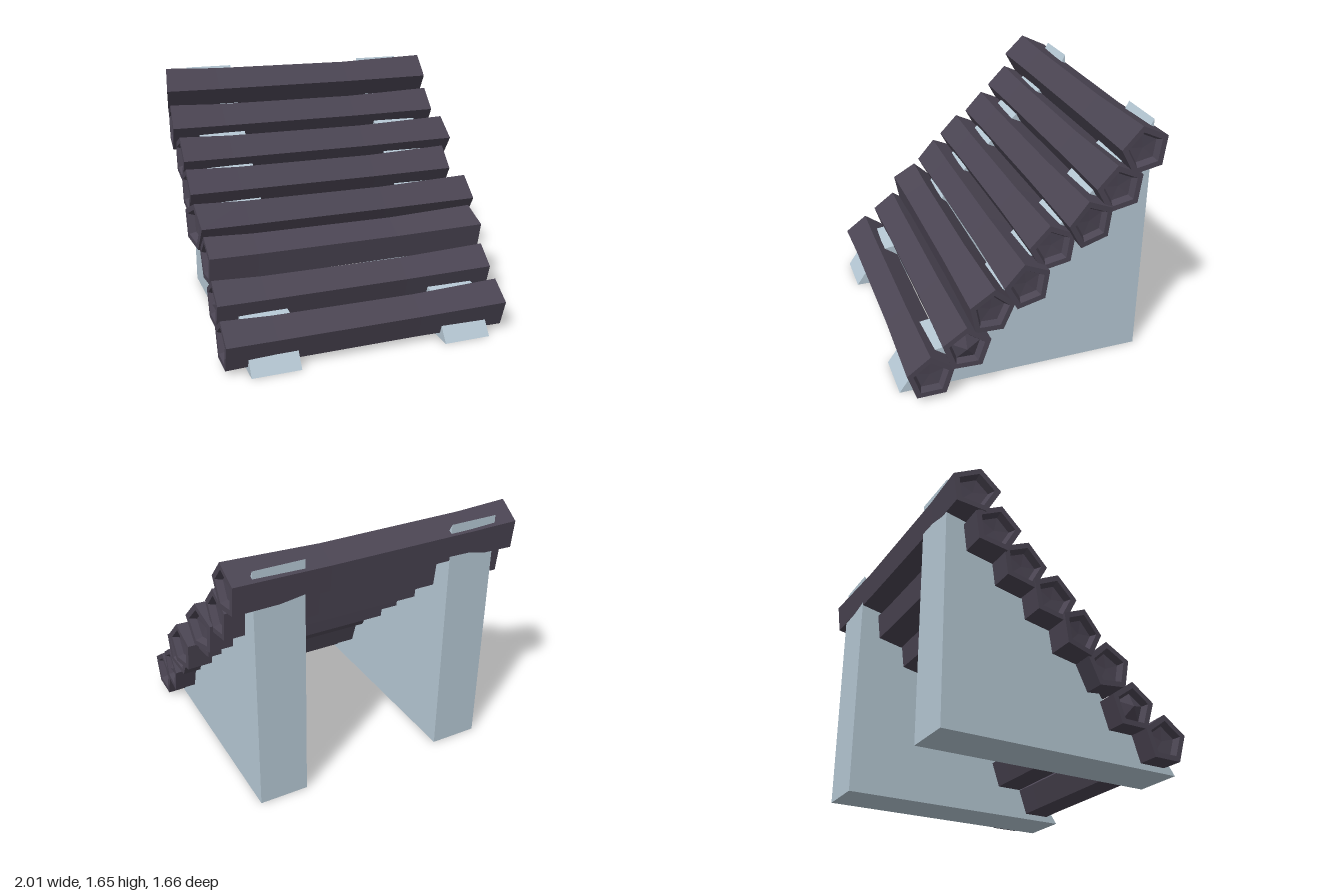
import * as THREE from 'three';

const wood = new THREE.MeshStandardMaterial({ color: 0x4b4553 });
wood.name = 'dark wood';
const stone = new THREE.MeshStandardMaterial({ color: 0xb6c8d4 });
stone.name = 'pale support';

const SIDES = 5;
const RADIUS = 0.16;

// Five-sided log along x: flared ends, slimmer sagging middle, recessed end faces.
function logGeometry({ z, y, rot, left, right, tiltL = 0, tiltR = 0, dent = 0.045 }) {
  // [x, scale, sag, end tilt]
  const rings = [
    [left + dent, 0, 0, 0],
    [left + 0.04, 0.6, 0, tiltL],
    [left, 0.74, 0, tiltL],
    [left, 1, 0, tiltL],
    [-0.63, 0.93, 0.004, 0],
    [0.33, 0.91, 0.006, 0],
    [right, 1, 0, tiltR],
    [right, 0.74, 0, tiltR],
    [right - 0.04, 0.6, 0, tiltR],
    [right - dent, 0, 0, 0],
  ];
  const point = ([x, s, sag, tilt], j) => {
    const a = THREE.MathUtils.degToRad(rot) + (j / SIDES) * Math.PI * 2;
    const dz = -Math.sin(a) * RADIUS * s;
    const dy = Math.cos(a) * RADIUS * s;
    return [x + tilt * dz, y + dy - sag, z + dz];
  };
  const pos = [];
  for (let i = 0; i < rings.length - 1; i++) {
    for (let j = 0; j < SIDES; j++) {
      const a = point(rings[i], j), b = point(rings[i + 1], j);
      const c = point(rings[i + 1], j + 1), d = point(rings[i], j + 1);
      if (rings[i + 1][1] > 0) pos.push(...a, ...b, ...c);
      else pos.push(...a, ...b, ...d);
      if (rings[i][1] > 0 && rings[i + 1][1] > 0) pos.push(...a, ...c, ...d);
    }
  }
  const g = new THREE.BufferGeometry();
  g.setAttribute('position', new THREE.Float32BufferAttribute(pos, 3));
  g.computeVertexNormals();
  return g;
}

// Wedge side outline as (z, y), extruded across x.
function supportGeometry(width) {
  const outline = [
    [0.83, 0], [0.64, 0.27], [0.52, 0.285], [0.29, 0.41], [0.2, 0.57],
    [0, 0.81], [-0.74, 1.52], [-0.8, 1.63], [-0.8, 0],
  ];
  const shape = new THREE.Shape(outline.map(([z, y]) => new THREE.Vector2(z, y)));
  const g = new THREE.ExtrudeGeometry(shape, { depth: width, bevelEnabled: false });
  g.rotateY(-Math.PI / 2);
  g.translate(width / 2, 0, 0);
  return g;
}

export function createModel() {
  const group = new THREE.Group();
  group.name = 'logStairs';

  // Eight log steps, lowest first
  const logs = [
    { z: 0.655, y: 0.165, rot: 0, left: -0.955, right: 0.94 },
    { z: 0.426, y: 0.335, rot: 0, left: -0.95, right: 0.95, tiltR: -0.06, dent: 0.0 },
    { z: 0.262, y: 0.562, rot: 7, left: -0.95, right: 0.94, tiltR: 0.1 },
    { z: 0.049, y: 0.733, rot: -10, left: -0.975, right: 0.985, tiltL: 0.15, tiltR: 0.08 },
    { z: -0.143, y: 0.913, rot: -10, left: -0.975, right: 0.9 },
    { z: -0.349, y: 1.083, rot: -11, left: -0.97, right: 0.98, tiltR: 0.15 },
    { z: -0.545, y: 1.265, rot: -11, left: -0.985, right: 0.94, tiltL: -0.08 },
    { z: -0.688, y: 1.495, rot: -11, left: -0.975, right: 0.94, tiltL: -0.17 },
  ];
  logs.forEach((spec, i) => {
    const mesh = new THREE.Mesh(logGeometry(spec), wood);
    mesh.name = `logStep${i + 1}`;
    group.add(mesh);
  });

  // Mirrored pair of wedge supports
  const wedge = supportGeometry(0.32);
  for (const side of [1, -1]) {
    const mesh = new THREE.Mesh(wedge, stone);
    mesh.name = side > 0 ? 'leftSupport' : 'rightSupport';
    mesh.position.x = side * 0.652;
    group.add(mesh);
  }
  return group;
}
